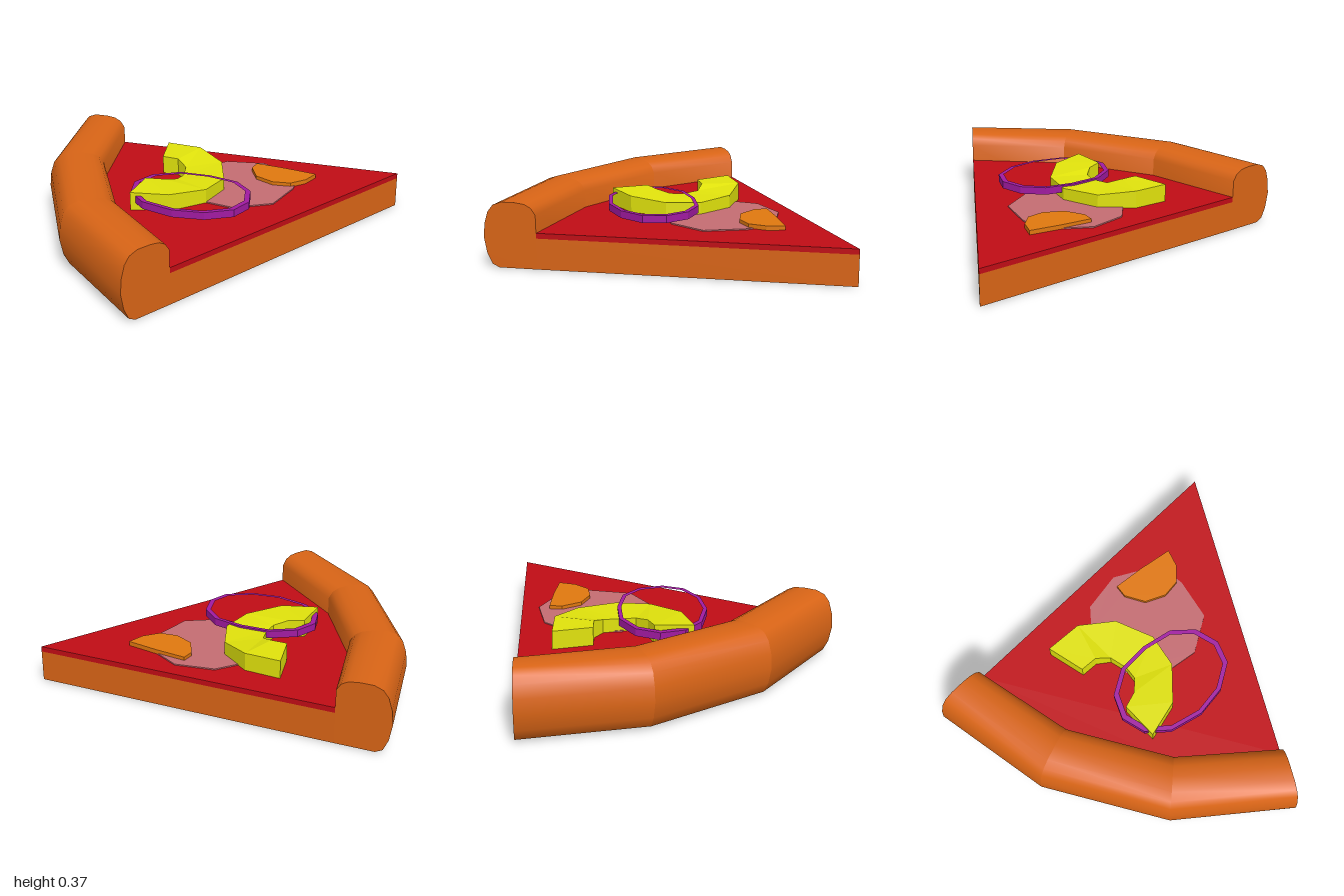
import * as THREE from 'three';
import { toCreasedNormals, mergeGeometries } from 'three/addons/utils/BufferGeometryUtils.js';

const mat = (color, flat = true) => new THREE.MeshStandardMaterial({ color, flatShading: flat });

// Flat slab from an outline of [x, z] corners, between two heights
function slab(name, outline, y0, y1, color, hole) {
  const toV = ([x, z]) => new THREE.Vector2(x, -z);
  const shape = new THREE.Shape(outline.map(toV));
  if (hole) shape.holes.push(new THREE.Path(hole.map(toV)));
  const geo = new THREE.ExtrudeGeometry(shape, { depth: y1 - y0, bevelEnabled: false });
  geo.rotateX(-Math.PI / 2).translate(0, y0, 0);
  const mesh = new THREE.Mesh(geo, mat(color));
  mesh.name = name;
  return mesh;
}

// Closed rings of [x, y, z] joined in order, with optional end caps
function loft(rings, capStart = true, capEnd = true) {
  const pos = [];
  const tri = (a, b, c) => pos.push(...a, ...b, ...c);
  const n = rings[0].length;
  for (let i = 0; i < rings.length - 1; i++) {
    for (let j = 0; j < n; j++) {
      const k = (j + 1) % n;
      const [a, b, c, d] = [rings[i][j], rings[i + 1][j], rings[i][k], rings[i + 1][k]];
      tri(a, b, c);
      tri(b, d, c);
    }
  }
  const last = rings[rings.length - 1];
  for (let j = 1; j < n - 1; j++) {
    if (capStart) tri(rings[0][0], rings[0][j], rings[0][j + 1]);
    if (capEnd) tri(last[0], last[j + 1], last[j]);
  }
  const geo = new THREE.BufferGeometry();
  geo.setAttribute('position', new THREE.Float32BufferAttribute(pos, 3));
  geo.computeVertexNormals();
  return geo;
}

export function createModel() {
  const group = new THREE.Group();
  const outer = [[-0.76, -1], [-1, -0.36], [-1, 0.36], [-0.76, 1]];
  const inner = [[-0.5, -0.855], [-0.69, -0.3], [-0.69, 0.3], [-0.5, 0.855]];

  // Dough wedge with sauce on top
  const wedge = [...inner, [1, 0]];
  group.add(slab('dough', wedge, 0, 0.175, 0xd86416));
  group.add(slab('sauce', wedge, 0.175, 0.205, 0xc00c15));

  // Crust: rounded section [inward fraction, height] swept along the three back edges
  const profile = [[1, 0], [0.27, 0], [0.14, 0.02], [0.05, 0.08], [0, 0.17], [0.03, 0.25], [0.1, 0.315],
    [0.2, 0.352], [0.36, 0.37], [0.62, 0.37], [0.8, 0.362], [0.92, 0.342], [1, 0.305]];
  const rings = outer.map(([ox, oz], i) => profile.map(([s, y]) =>
    [ox + (inner[i][0] - ox) * s, y, oz + (inner[i][1] - oz) * s]));
  const parts = [0, 1, 2].map(i =>
    toCreasedNormals(loft([rings[i], rings[i + 1]], i === 0, i === 2), 0.8));
  const crust = new THREE.Mesh(mergeGeometries(parts), mat(0xd86416, false));
  crust.name = 'crust';
  group.add(crust);

  // Thin round slice of ham
  group.add(slab('hamSlice', [[0.06, -0.385], [0.27, -0.305], [0.36, -0.155], [0.38, 0], [0.34, 0.085],
    [0.175, 0.26], [-0.055, 0.26], [-0.19, 0.15], [-0.27, -0.08], [-0.2, -0.22], [-0.085, -0.335]],
  0.2, 0.212, 0xc46c72));

  // Pointed orange piece
  group.add(slab('orangePiece', [[0.215, -0.267], [0.36, -0.16], [0.508, -0.037], [0.43, 0.03],
    [0.33, 0.058], [0.235, 0.016], [0.165, -0.085], [0.17, -0.21]], 0.207, 0.232, 0xe0780f));

  // Curved pepper strip: outer x, z, inner x, z, top height
  const strip = [[-0.273, -0.52, -0.342, -0.31, 0.31], [-0.1, -0.406, -0.262, -0.257, 0.308],
    [-0.012, -0.21, -0.23, -0.18, 0.285], [-0.048, 0.016, -0.262, -0.08, 0.28],
    [-0.18, 0.16, -0.31, -0.02, 0.287], [-0.396, 0.22, -0.396, 0, 0.303], [-0.6, 0.16, -0.487, -0.02, 0.31]];
  const base = 0.207;
  const pepper = new THREE.Mesh(loft(strip.map(([ox, oz, ix, iz, top]) =>
    [[ox, base, oz], [ix, base, iz], [ix, top, iz], [ox, top, oz]])), mat(0xe0e20c));
  pepper.name = 'pepperStrip';
  group.add(pepper);

  // Onion ring: twelve-sided oval band
  const oval = [[-0.435, -0.105], [-0.275, -0.105], [-0.12, -0.02], [0.01, 0.1], [0.052, 0.24], [0.012, 0.375],
    [-0.09, 0.455], [-0.25, 0.455], [-0.41, 0.385], [-0.545, 0.25], [-0.59, 0.11], [-0.55, -0.025]];
  const c = [-0.267, 0.175];
  const hole = oval.map(([x, z]) => [c[0] + (x - c[0]) * 0.91, c[1] + (z - c[1]) * 0.91]);
  group.add(slab('onionRing', oval, 0.248, 0.29, 0xa01aa0, hole));

  return group;
}
